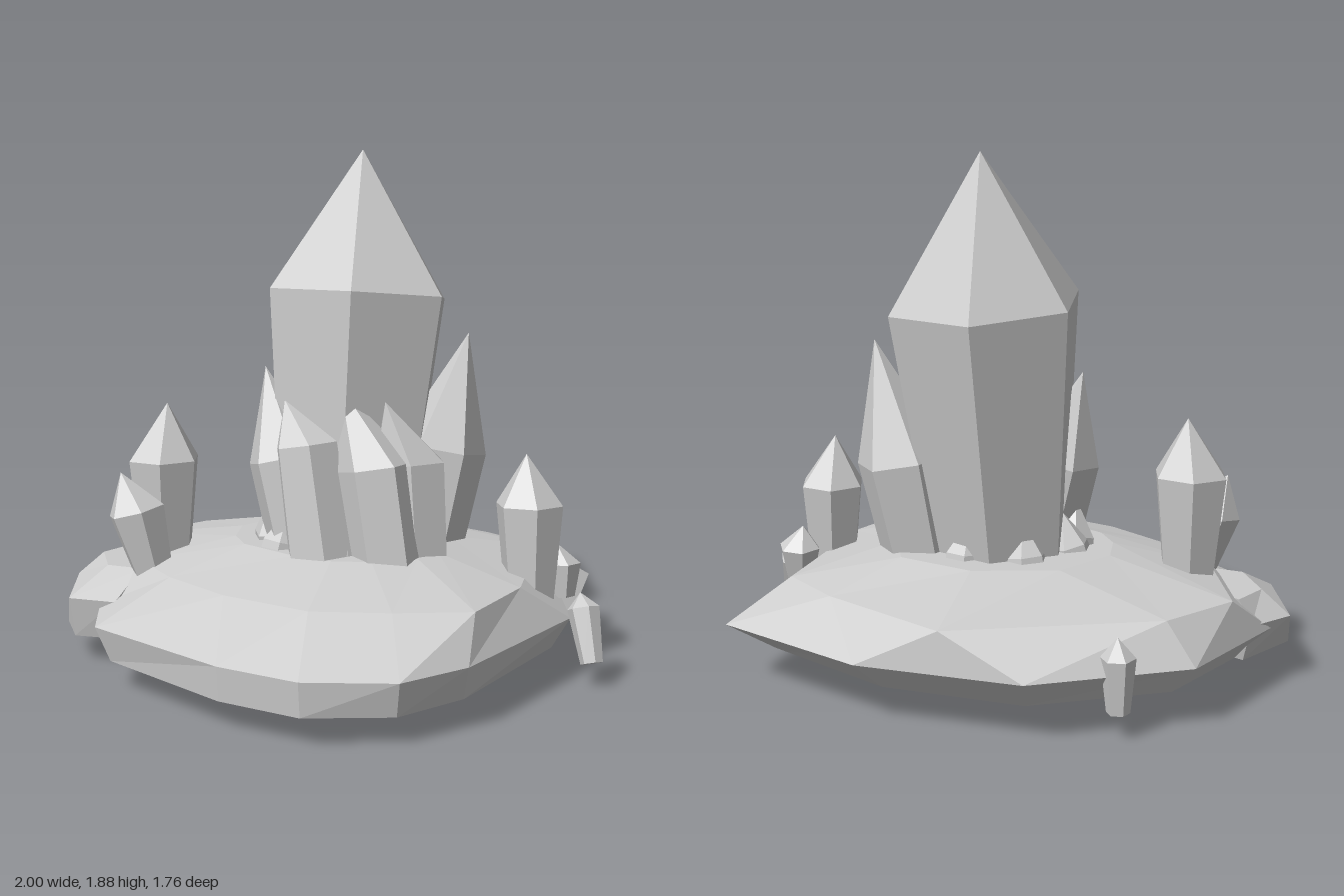
import * as THREE from 'three';

const stone = new THREE.MeshStandardMaterial({ color: 0xcccccc });
stone.name = 'paleGreyStone';

const V = (p) => new THREE.Vector3(...p);
const centre = (ring) => ring.reduce((s, p) => s.add(p), new THREE.Vector3()).divideScalar(ring.length);

// Faceted solid through rings listed bottom to top, each counter-clockwise from above
function loft(name, rings, tip) {
  const pos = [];
  const tri = (...pts) => pts.forEach((p) => pos.push(p.x, p.y, p.z));
  const n = rings[0].length, last = rings[rings.length - 1];
  const low = centre(rings[0]), high = tip || centre(last);
  for (let j = 0; j < n; j++) {
    const k = (j + 1) % n;
    tri(low, rings[0][k], rings[0][j]);
    tri(last[j], last[k], high);
    for (let i = 0; i < rings.length - 1; i++) {
      const a = rings[i], b = rings[i + 1];
      tri(a[j], a[k], b[k]);
      tri(a[j], b[k], b[j]);
    }
  }
  const geo = new THREE.BufferGeometry();
  geo.setAttribute('position', new THREE.Float32BufferAttribute(pos, 3));
  geo.computeVertexNormals();
  const mesh = new THREE.Mesh(geo, stone);
  mesh.name = name;
  return mesh;
}

// Six-sided crystal that widens from its base to a shoulder, then closes to a tip
function crystal(name, base, shoulder, tip, rBase, rShoulder, turn = 0) {
  const b = V(base), s = V(shoulder);
  const q = new THREE.Quaternion().setFromUnitVectors(new THREE.Vector3(0, 1, 0), s.clone().sub(b).normalize());
  const ring = (c, r) => Array.from({ length: 6 }, (_, i) => {
    const a = turn + i * Math.PI / 3;
    return new THREE.Vector3(Math.cos(a) * r, 0, -Math.sin(a) * r).applyQuaternion(q).add(c);
  });
  return loft(name, [ring(b, rBase), ring(s, rShoulder)], V(tip));
}

const level = (y, pts) => pts.map(([x, z]) => new THREE.Vector3(x, y, z));

export function createModel() {
  const model = new THREE.Group();
  model.name = 'crystalCluster';

  // Broad rock base: underside, rim, shoulder, crown
  const crown = [[0.42, 0], [0.34, -0.25], [0.2, -0.42], [-0.1, -0.42], [-0.36, -0.25], [-0.42, 0],
    [-0.35, 0.15], [-0.25, 0.24], [0, 0.3], [0.15, 0.3], [0.28, 0.24], [0.4, 0.12]];
  model.add(loft('rockBase', [
    level(0.1, [[0.78, -0.2], [0.6, -0.65], [0.05, -0.74], [-0.45, -0.62], [-0.8, -0.25], [-0.85, 0.2],
      [-0.65, 0.45], [-0.5, 0.72], [0.06, 0.87], [0.37, 0.87], [0.63, 0.71], [0.74, 0.45]]),
    level(0.22, [[0.85, -0.2], [0.69, -0.81], [0.06, -0.88], [-0.51, -0.73], [-0.91, -0.3], [-0.96, 0.2],
      [-0.72, 0.5], [-0.55, 0.74], [0.06, 0.88], [0.37, 0.88], [0.65, 0.73], [0.77, 0.48]]),
    level(0.365, [[0.74, 0], [0.56, -0.6], [0.3, -0.7], [-0.22, -0.79], [-0.8, -0.3], [-0.9, 0],
      [-0.65, 0.35], [-0.4, 0.5], [-0.1, 0.6], [0.25, 0.62], [0.5, 0.5], [0.73, 0.35]]),
    level(0.45, crown),
  ]));

  // Small slab leaning on the front left rim
  model.add(loft('sideRock', [
    level(0.1, [[-0.6, 0.2], [-0.88, 0.15], [-0.94, 0.42], [-0.8, 0.55], [-0.62, 0.5]]),
    level(0.25, [[-0.6, 0.2], [-0.93, 0.1], [-1, 0.28], [-0.8, 0.58], [-0.62, 0.54]]),
    level(0.34, [[-0.6, 0.2], [-0.88, 0.1], [-0.9, 0.25], [-0.76, 0.4], [-0.62, 0.38]]),
  ]));

  // Main spire
  model.add(crystal('mainCrystal', [0, 0.05, -0.03], [0, 1.35, -0.17], [-0.02, 1.88, -0.23], 0.22, 0.36, -0.1));

  // Crystals crowded round the foot of the spire
  [
    [[0.0, 0.1, 0.1], [-0.16, 0.76, 0.1], [-0.25, 1.09, 0.09], 0.13, 0.14, 0.3],
    [[0.12, 0.07, 0.22], [-0.02, 0.83, 0.18], [-0.13, 0.98, 0.15], 0.14, 0.12, 0.1],
    [[0.34, 0.08, 0.13], [0.22, 0.76, 0.11], [0.08, 1.04, 0.11], 0.13, 0.14, 0.5],
    [[0.36, 0.08, 0.02], [0.29, 0.76, -0.02], [0.24, 0.99, 0.07], 0.12, 0.14, 0],
    [[0.2, 0.06, -0.18], [0.29, 0.78, -0.28], [0.38, 1.21, -0.32], 0.13, 0.17, 0.45],
    [[-0.18, 0.05, 0.0], [-0.21, 0.48, 0.08], [-0.22, 0.61, 0.1], 0.12, 0.09, 0.2],
  ].forEach((c, i) => model.add(crystal('footCrystal' + (i + 1), ...c)));

  // Low stubs whose roots show in a ring beneath the rock
  for (let i = 0; i < 7; i++) {
    const a = 0.6 + i * 0.9, x = Math.cos(a), z = -Math.sin(a);
    model.add(crystal('rootStub' + (i + 1), [x * 0.32, 0.075, z * 0.32],
      [x * 0.24, 0.46, z * 0.24 - 0.03], [x * 0.22, 0.58, z * 0.22 - 0.03], 0.11, 0.08, i));
  }
  model.add(crystal('lowestRoot', [-0.17, 0.035, -0.03], [-0.1, 0.2, 0], [-0.1, 0.3, 0], 0.09, 0.08));

  // Separate small crystals on and around the rim
  [
    [[-0.62, 0.25, 0.22], [-0.625, 0.73, 0.22], [-0.62, 0.94, 0.2], 0.09, 0.14, 0],
    [[-0.56, 0.25, 0.35], [-0.635, 0.56, 0.38], [-0.69, 0.7, 0.4], 0.065, 0.11, 0.3],
    [[0.69, 0.25, -0.2], [0.68, 0.615, -0.21], [0.67, 0.8, -0.2], 0.09, 0.125, 0.1],
    [[0.76, 0.26, -0.32], [0.75, 0.38, -0.33], [0.74, 0.46, -0.32], 0.055, 0.08, 0.3],
    [[0.96, 0.09, -0.13], [0.905, 0.27, -0.18], [0.885, 0.32, -0.2], 0.04, 0.058, 0.2],
    [[-0.72, 0.09, -0.48], [-0.72, 0.28, -0.485], [-0.72, 0.35, -0.49], 0.04, 0.06, 0.4],
  ].forEach((c, i) => model.add(crystal('smallCrystal' + (i + 1), ...c)));

  return model;
}
